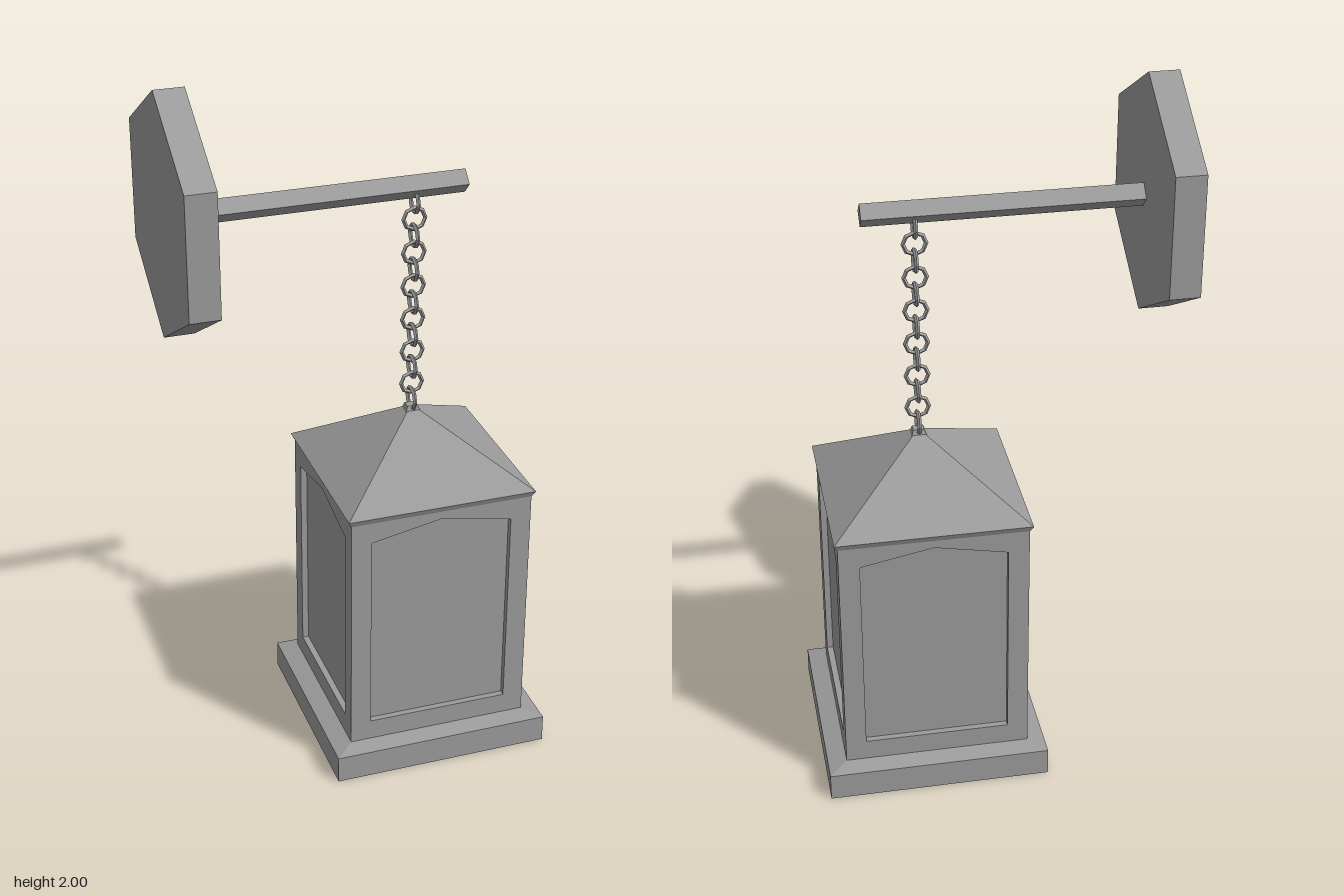
import * as THREE from 'three';

const CX = 0.189; // lantern axis

export function createModel() {
  const root = new THREE.Group();
  root.name = 'hangingLantern';
  const iron = new THREE.MeshStandardMaterial({ color: 0x9b9b9b });
  iron.name = 'grey iron';

  const add = (name, geo, parent = root) => {
    const mesh = new THREE.Mesh(geo, iron);
    mesh.name = name;
    parent.add(mesh);
    return mesh;
  };

  // Rectangular block whose top corners are moved in or out to make a taper
  const taper = (bx, bz, tx, tz, y0, y1) => {
    const geo = new THREE.BoxGeometry(2, y1 - y0, 2);
    const p = geo.attributes.position;
    for (let i = 0; i < p.count; i++) {
      const top = p.getY(i) > 0;
      p.setXYZ(i, p.getX(i) * (top ? tx : bx), top ? y1 : y0, p.getZ(i) * (top ? tz : bz));
    }
    const flat = geo.toNonIndexed();
    flat.computeVertexNormals();
    return flat;
  };

  // Lantern
  const lantern = new THREE.Group();
  lantern.name = 'lantern';
  lantern.position.x = CX;
  root.add(lantern);
  add('base', taper(0.315, 0.305, 0.315, 0.305, 0, 0.08), lantern);
  add('baseSlope', taper(0.315, 0.305, 0.263, 0.26, 0.08, 0.095), lantern);
  add('eave', taper(0.262, 0.259, 0.272, 0.268, 0.81, 0.83), lantern);
  add('roof', taper(0.272, 0.268, 0.018, 0.018, 0.83, 1.002), lantern);
  add('roofCap', taper(0.022, 0.018, 0.015, 0.013, 0.998, 1.016), lantern);

  // Recessed panels: a core box with an arched frame on each side
  const depth = 0.018, hx = 0.2625, hz = 0.26, y0 = 0.09, y1 = 0.815;
  add('panels', taper(hx - depth, hz - depth, hx - depth, hz - depth, y0, y1), lantern);
  const frame = (half) => {
    const shape = new THREE.Shape([[-half, y0], [half, y0], [half, y1], [-half, y1]]
      .map(([x, y]) => new THREE.Vector2(x, y)));
    shape.holes.push(new THREE.Path([[-0.204, 0.155], [-0.204, 0.75], [0, 0.79], [0.204, 0.75], [0.204, 0.155]]
      .map(([x, y]) => new THREE.Vector2(x, y))));
    return new THREE.ExtrudeGeometry(shape, { depth, bevelEnabled: false });
  };
  ['front', 'left', 'back', 'right'].forEach((side, i) => {
    const facesZ = i % 2 === 0;
    const geo = frame(facesZ ? hx : hz - depth);
    geo.translate(0, 0, (facesZ ? hz : hx) - depth);
    add(side + 'Frame', geo, lantern).rotation.y = i * Math.PI / 2;
  });

  // Chain of links turned alternately by a quarter
  const chain = new THREE.Group();
  chain.name = 'chain';
  root.add(chain);
  const link = new THREE.TorusGeometry(0.031, 0.006, 4, 8).toNonIndexed();
  link.computeVertexNormals();
  for (let i = 0; i < 13; i++) {
    const mesh = add('chainLink', link, chain);
    mesh.position.set(CX, 1.62 - i * 0.0488, 0);
    mesh.rotation.y = i % 2 ? 0 : Math.PI / 2;
  }

  // Diamond-section arm and hexagonal wall plate, both along x
  const prism = (radius, sides, xa, xb) => {
    const geo = new THREE.CylinderGeometry(radius, radius, xb - xa, sides).toNonIndexed();
    geo.computeVertexNormals();
    geo.rotateY(Math.PI / 2); // first corner onto x, so it points up or down
    geo.rotateZ(Math.PI / 2);
    return geo.translate((xa + xb) / 2, 1.6625, 0);
  };
  add('arm', prism(0.033, 4, -0.43, 0.331));
  add('wallPlate', prism(0.3375, 6, -0.505, -0.422));
  return root;
}
